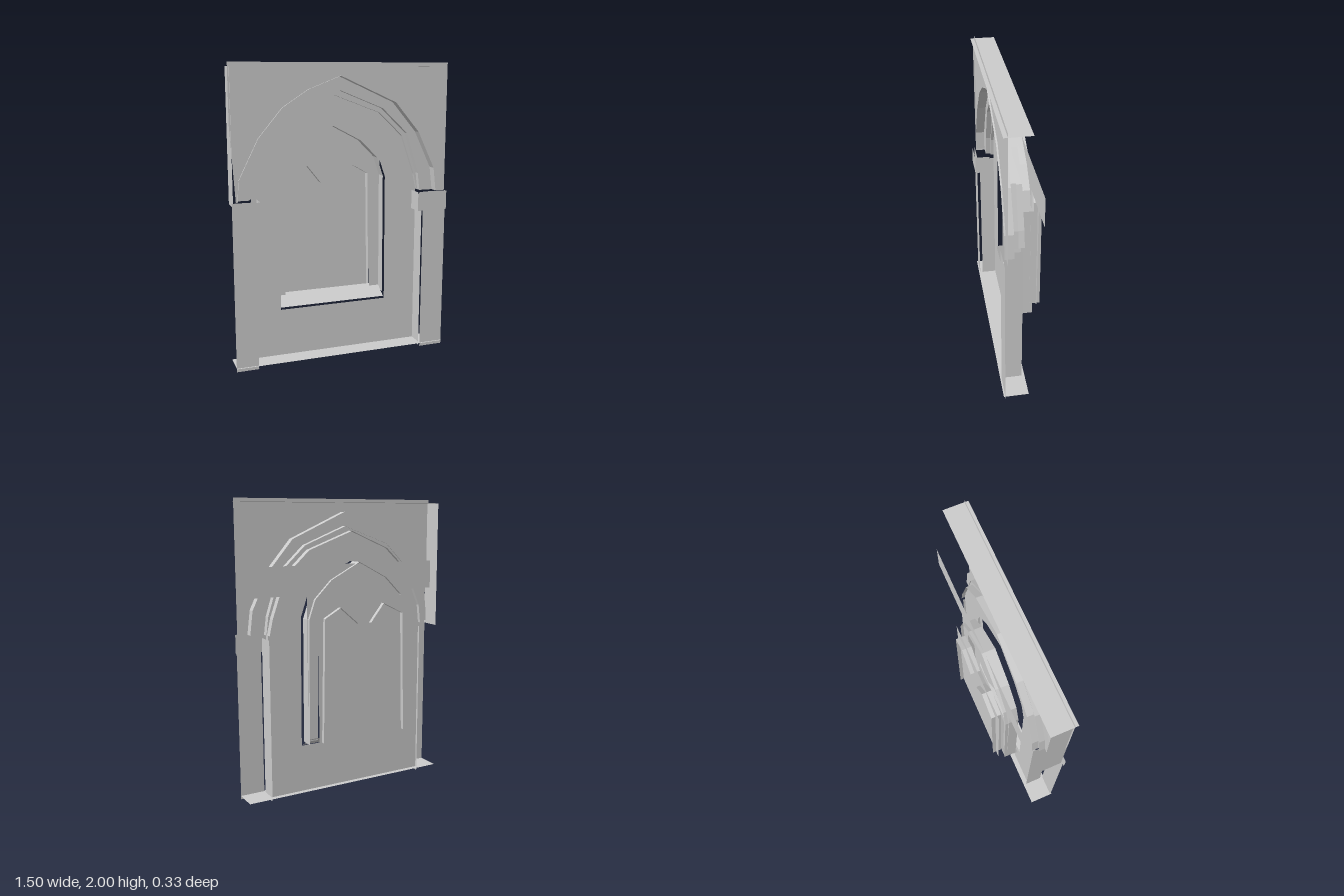
import * as THREE from 'three';

const material = new THREE.MeshStandardMaterial({ color: 0xcccccc, side: THREE.DoubleSide, flatShading: true });

// Outlines, running from the left foot over the point to the right foot
const outerArch = [[-0.71, 1.13], [-0.7, 1.27], [-0.57, 1.53], [-0.41, 1.72], [-0.24, 1.83], [-0.02, 1.915],
  [0.37, 1.74], [0.54, 1.54], [0.66, 1.29], [0.68, 1.13]];
const middleArch = [[-0.62, 1.13], [-0.6, 1.27], [-0.5, 1.53], [-0.33, 1.7], [0, 1.82],
  [0.3, 1.7], [0.48, 1.53], [0.57, 1.25], [0.585, 1.13]];
const innerArch = [[-0.6, 1.13], [-0.585, 1.26], [-0.48, 1.51], [-0.31, 1.67], [-0.03, 1.79],
  [0.29, 1.67], [0.46, 1.51], [0.555, 1.24], [0.58, 1.13]];
const windowHead = [[-0.4, 1.23], [-0.36, 1.36], [-0.24, 1.48], [-0.03, 1.59],
  [0.18, 1.48], [0.3, 1.36], [0.345, 1.23]];
const windowOpening = [[-0.41, 0.35], ...windowHead, [0.35, 0.35]];
const windowJambs = [[-0.41, 0.39], ...windowHead, [0.35, 0.39]];

// Pointed lights, from the left foot or springing to the right
const leftLight = [[-0.35, 0.41], [-0.33, 1.24], [-0.18, 1.315], [-0.08, 1.19]];
const rightLight = [[0.015, 1.19], [0.15, 1.305], [0.265, 1.24], [0.28, 0.41]];

const toVectors = (points) => points.map(([x, y]) => new THREE.Vector2(x, y));

function add(group, name, geometry) {
  const mesh = new THREE.Mesh(geometry, material);
  mesh.name = name;
  group.add(mesh);
  return mesh;
}

// Flat upright sheet at depth z, with optional holes
function sheet(group, name, outline, z, holes = []) {
  const shape = new THREE.Shape(toVectors(outline));
  shape.holes = holes.map((hole) => new THREE.Path(toVectors(hole)));
  add(group, name, new THREE.ShapeGeometry(shape)).position.z = z;
}

const rectangle = (x0, x1, y0, y1) => [[x0, y0], [x1, y0], [x1, y1], [x0, y1]];

// Strip that carries an outline from depth z0 back to z1
function reveal(group, name, points, z0, z1) {
  const positions = [];
  for (let i = 0; i < points.length - 1; i++) {
    const [ax, ay] = points[i];
    const [bx, by] = points[i + 1];
    positions.push(ax, ay, z0, bx, by, z0, bx, by, z1, ax, ay, z0, bx, by, z1, ax, ay, z1);
  }
  const geometry = new THREE.BufferGeometry();
  geometry.setAttribute('position', new THREE.Float32BufferAttribute(positions, 3));
  geometry.computeVertexNormals();
  add(group, name, geometry);
}

export function createModel() {
  const model = new THREE.Group();
  model.name = 'archedWindowNiche';

  // Upper front wall around the arch, and the thin returns
  sheet(model, 'upperWall', [...outerArch, [0.75, 1.13], [0.75, 2], [-0.75, 2], [-0.75, 1.62], [-0.72, 1.13]], 0.13);
  reveal(model, 'topReturn', [[-0.75, 1.975], [0.75, 1.975]], 0.155, -0.01);
  reveal(model, 'sideReturn', [[-0.74, 1.1], [-0.74, 1.975]], 0.14, 0);
  reveal(model, 'bottomReturn', [[-0.75, 0.025], [0.75, 0.025]], 0.16, -0.01);

  // Stepped arch mouldings
  reveal(model, 'outerArchReveal', outerArch, 0.14, 0.08);
  sheet(model, 'outerArchStep', [...outerArch, ...[...middleArch].reverse()], 0.08);
  reveal(model, 'middleArchReveal', middleArch, 0.08, 0.04);
  sheet(model, 'innerArchStep', [...middleArch, ...[...innerArch].reverse()], 0.045);
  reveal(model, 'innerArchReveal', innerArch, 0.045, 0);

  // Recessed wall with the window opening
  sheet(model, 'recessedWall', [[-0.6, 0.02], ...innerArch, [0.58, 0.02]], 0.025, [windowOpening]);

  // Pilasters with set-back jambs, and open capitals
  for (const [side, outer, inner, capInner] of [['right', -0.75, -0.6, -0.57], ['left', 0.75, 0.58, 0.535]]) {
    sheet(model, side + 'Pilaster', rectangle(Math.min(outer, inner), Math.max(outer, inner), 0, 1.13), 0.15);
    reveal(model, side + 'Jamb', [[inner, 0], [inner, 1.1]], 0.13, 0.01);
    sheet(model, side + 'CapitalFront', rectangle(Math.min(outer, capInner), Math.max(outer, capInner), 1, 1.13), 0.167);
    reveal(model, side + 'CapitalSide', [[capInner, 1], [capInner, 1.13]], 0.165, 0.06);
  }

  // Window reveal and sloping sill
  reveal(model, 'windowReveal', windowJambs, -0.01, -0.1);
  const sill = add(model, 'sill', new THREE.PlaneGeometry(0.76, Math.hypot(0.07, 0.11)));
  sill.position.set(-0.03, 0.395, -0.045);
  sill.rotation.x = -Math.atan2(0.11, 0.07);

  // Tracery plate over two pointed lights, the mullion, and the panel above
  sheet(model, 'traceryPlate', [[-0.41, 0.41], ...leftLight, ...rightLight, [0.35, 0.41], [0.35, 1.39], [-0.41, 1.39]], -0.08);
  sheet(model, 'mullion', rectangle(-0.075, 0.01, 0.41, 1.2), -0.13);
  sheet(model, 'upperPanel', rectangle(-0.62, 0.75, 1.39, 1.58), -0.08);
  reveal(model, 'leftLightReveal', leftLight, -0.1, -0.167);
  reveal(model, 'rightLightReveal', rightLight, -0.1, -0.167);
  sheet(model, 'backPane', rectangle(-0.39, 0.3, 0.4, 1.36), -0.14);

  return model;
}
